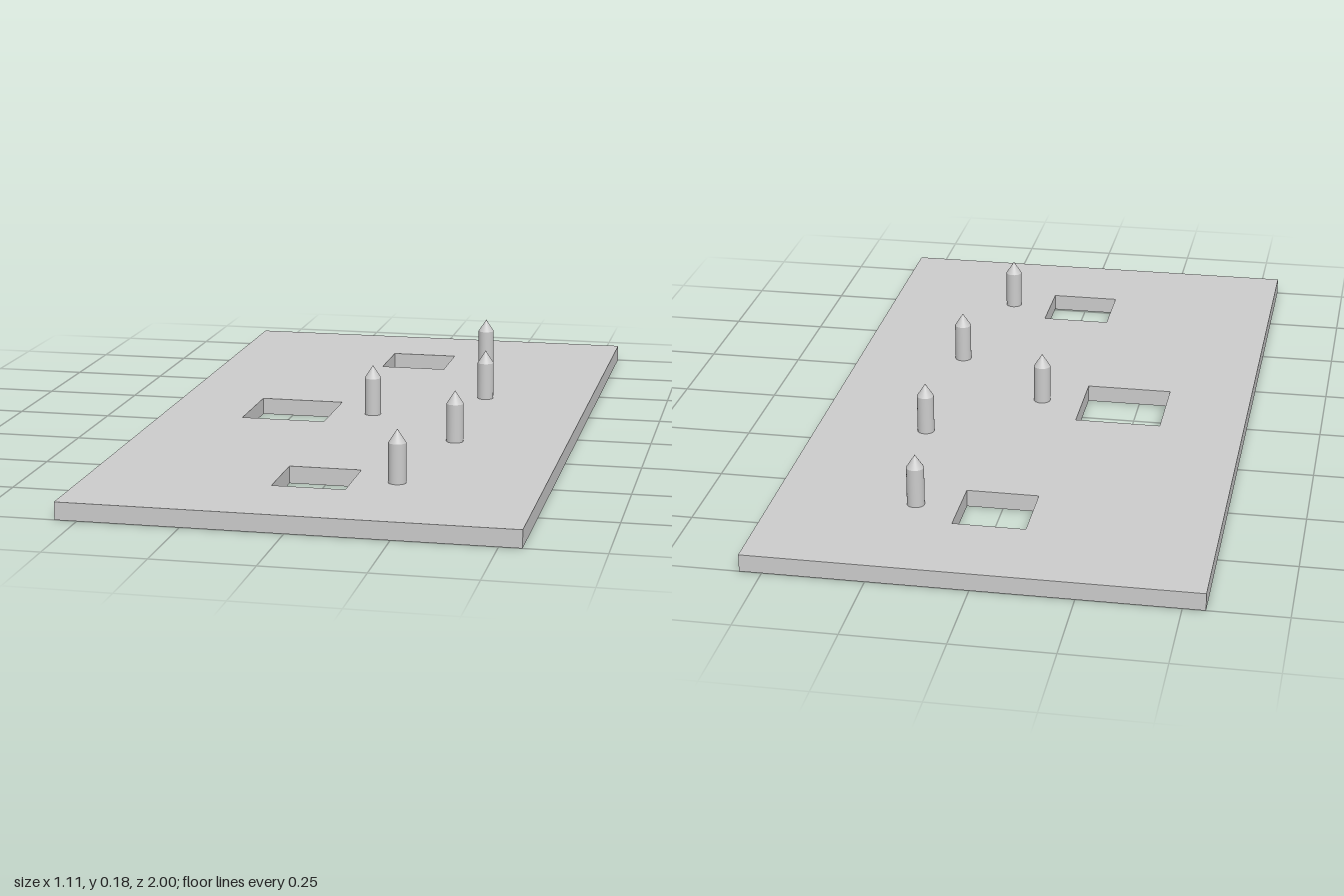
import * as THREE from 'three';

const HALF_X = 0.555, HALF_Z = 1, THICK = 0.044;

// Closed rectangle outline centred on (cx, cy)
function rectangle(PathType, cx, cy, hx, hy) {
  return new PathType([[-1, -1], [1, -1], [1, 1], [-1, 1]]
    .map(([sx, sy]) => new THREE.Vector2(cx + sx * hx, cy + sy * hy))).closePath();
}

export function createModel() {
  const model = new THREE.Group();
  const material = new THREE.MeshStandardMaterial({ color: 0xcccccc });

  // Flat plate with one large and two small square openings
  const outline = rectangle(THREE.Shape, 0, 0, HALF_X, HALF_Z);
  for (const [x, z, half] of [[0, -0.664, 0.091], [-0.222, 0, 0.112], [0, 0.664, 0.091]]) {
    outline.holes.push(rectangle(THREE.Path, x, -z, half, half));
  }
  const plateGeometry = new THREE.ExtrudeGeometry(outline, { depth: THICK, bevelEnabled: false });
  plateGeometry.rotateX(-Math.PI / 2);
  const plate = new THREE.Mesh(plateGeometry, material);
  plate.name = 'plate';
  model.add(plate);

  // Round pegs with conical tips
  const radius = 0.022, shoulder = 0.144, tip = 0.178;
  const shaftGeometry = new THREE.CylinderGeometry(radius, radius, shoulder - THICK, 32, 1, true);
  shaftGeometry.translate(0, (shoulder + THICK) / 2, 0);
  const tipGeometry = new THREE.ConeGeometry(radius, tip - shoulder, 32, 1, true);
  tipGeometry.translate(0, (tip + shoulder) / 2, 0);
  for (const [x, z] of [[0.2, -0.667], [0.267, -0.245], [0, 0], [0.267, 0.245], [0.2, 0.667]]) {
    const peg = new THREE.Group();
    peg.name = 'peg';
    const shaft = new THREE.Mesh(shaftGeometry, material);
    shaft.name = 'pegShaft';
    const point = new THREE.Mesh(tipGeometry, material);
    point.name = 'pegTip';
    peg.add(shaft, point);
    peg.position.set(x, 0, z);
    model.add(peg);
  }
  return model;
}
